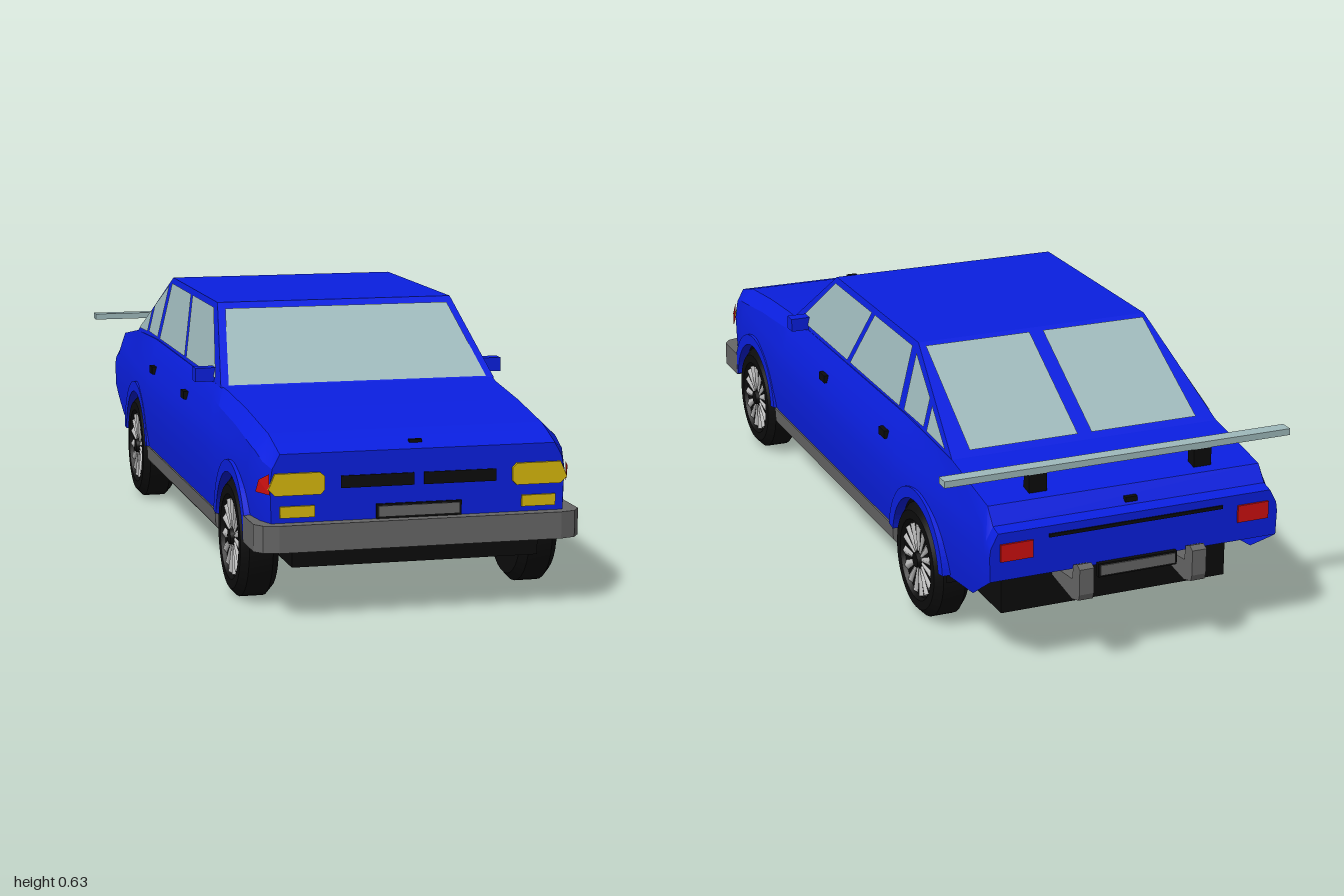
import * as THREE from 'three';
import { toCreasedNormals } from 'three/addons/utils/BufferGeometryUtils.js';

const paint = (color, side = THREE.FrontSide) => new THREE.MeshStandardMaterial({ color, side });
const BLUE = paint(0x0a1fe0, THREE.DoubleSide), GLASS = paint(0x9fbabc, THREE.DoubleSide);
const BLACK = paint(0x0c0c0c, THREE.DoubleSide), GREY = paint(0x666666), SILVER = paint(0xcccccc);
const YELLOW = paint(0xd8b80c), RED = paint(0xd01010, THREE.DoubleSide);

const AXLES = [0.705, -0.54], AXLE_Y = 0.142, ARCH = 0.16;

// Piecewise-linear lookup in a table of [key, value], keys ascending
function lerpTable(table, k) {
  if (k <= table[0][0]) return table[0][1];
  for (let i = 1; i < table.length; i++) {
    const [a, va] = table[i - 1], [b, vb] = table[i];
    if (k <= b) return va + (vb - va) * (k - a) / (b - a);
  }
  return table[table.length - 1][1];
}

// Body outline rules along z, and the side bulge along y
const TOP = [[-0.96, 0.365], [-0.93, 0.372], [-0.9, 0.41], [-0.69, 0.445], [-0.4, 0.457], [0.45, 0.452], [0.68, 0.432], [0.87, 0.408], [0.97, 0.378]];
const WIDTH = [[-0.96, 0.955], [-0.7, 0.965], [-0.38, 1], [0.5, 1], [0.7, 0.98], [0.86, 0.965], [0.93, 0.94], [0.97, 0.9]];
const EDGE = [[-0.96, 0.345], [-0.69, 0.345], [0.4, 0.345], [0.5, 0.335], [0.97, 0.322]];
const BASE = [[-0.96, 0.25], [-0.85, 0.178], [-0.67, 0.158], [0.97, 0.16]];
const SIDE = [[0.15, 0.372], [0.22, 0.38], [0.31, 0.383], [0.38, 0.372], [0.45, 0.35]];

function bottomAt(z) {
  let y = lerpTable(BASE, z);
  for (const a of AXLES) {
    const d = ARCH * ARCH - (z - a) ** 2;
    if (d > 0) y = Math.max(y, AXLE_Y + Math.sqrt(d));
  }
  return y;
}
const sideX = (y, z) => lerpTable(SIDE, y) * lerpTable(WIDTH, z);

function bodyGeometry() {
  const zs = TOP.concat(WIDTH, BASE, EDGE).map(p => p[0]);
  for (const a of AXLES) for (let k = 0; k <= 12; k++) zs.push(a + ARCH * Math.cos(k * Math.PI / 12));
  zs.sort((a, b) => b - a);
  const stations = zs.filter((z, i) => i === 0 || zs[i - 1] - z > 0.002);
  const section = z => {
    const top = lerpTable(TOP, z), shoulder = top - 0.033, low = bottomAt(z);
    const half = [0, 0.22, 0.31, 0.36, 1].map(v => {
      const y = Math.max(low, Math.min(shoulder, v));
      return [sideX(y, z), y];
    });
    half.push([lerpTable(EDGE, z), top]);
    return half.concat(half.slice().reverse().map(([x, y]) => [-x, y]));
  };
  const rings = stations.map(z => section(z).map(([x, y]) => [x, y, z]));
  const flat = r => r.map(([, y, z]) => [0, y, z]);
  rings.unshift(flat(rings[0]));
  rings.push(flat(rings[rings.length - 1]));
  const n = rings[0].length, index = [];
  for (let i = 0; i < rings.length - 1; i++) for (let j = 0; j < n - 1; j++) {
    const a = i * n + j, c = a + n;
    index.push(a, c, a + 1, c, c + 1, a + 1);
  }
  const g = new THREE.BufferGeometry();
  g.setAttribute('position', new THREE.Float32BufferAttribute(rings.flat(2), 3));
  g.setIndex(index);
  return toCreasedNormals(g, 0.35);
}

// Flat convex panel from corner points
function panelGeometry(pts) {
  const g = new THREE.BufferGeometry(), index = [];
  g.setAttribute('position', new THREE.Float32BufferAttribute(pts.flat(), 3));
  for (let i = 1; i < pts.length - 1; i++) index.push(0, i, i + 1);
  g.setIndex(index);
  const f = g.toNonIndexed();
  f.computeVertexNormals();
  return f;
}
const shapeOf = pts => new THREE.Shape(pts.map(p => new THREE.Vector2(...p)));
const extrude = (shape, depth) => new THREE.ExtrudeGeometry(shape, { depth, bevelEnabled: false, curveSegments: 16 });

export function createModel() {
  const car = new THREE.Group();
  car.name = 'car';
  const add = (name, geo, mat, parent = car) => {
    const m = new THREE.Mesh(geo, mat);
    m.name = name;
    parent.add(m);
    return m;
  };
  const box = (name, mat, w, h, d, x, y, z, parent) => {
    const m = add(name, new THREE.BoxGeometry(w, h, d), mat, parent);
    m.position.set(x, y, z);
    return m;
  };

  add('body', bodyGeometry(), BLUE);

  // Cabin: sloped block with glass laid on it
  const F0 = [0.345, 0.45, 0.45], F1 = [0.302, 0.628, 0.21], B1 = [0.302, 0.628, -0.37], B0 = [0.345, 0.443, -0.69];
  const mir = ([x, y, z]) => [-x, y, z];
  const cabin = new THREE.Group();
  cabin.name = 'cabin';
  car.add(cabin);
  add('roof', panelGeometry([F1, B1, mir(B1), mir(F1)]), BLUE, cabin);
  add('windscreenFrame', panelGeometry([F0, F1, mir(F1), mir(F0)]), BLUE, cabin);
  add('rearFrame', panelGeometry([B1, B0, mir(B0), mir(B1)]), BLUE, cabin);
  const off = 0.004;
  add('windscreen', panelGeometry([[-0.325, 0.455, 0.447], [0.325, 0.455, 0.447], [0.287, 0.615, 0.232], [-0.287, 0.615, 0.232]]), GLASS, cabin);

  const sideWindows = [
    [[0.39, 0.465], [0.02, 0.465], [-0.07, 0.615], [0.2, 0.615]],
    [[0, 0.465], [-0.35, 0.465], [-0.35, 0.615], [-0.09, 0.615]],
    [[-0.38, 0.465], [-0.51, 0.465], [-0.51, 0.537], [-0.38, 0.607]],
    [[-0.53, 0.462], [-0.65, 0.458], [-0.53, 0.525]],
  ];
  const glassX = y => 0.345 - (y - 0.45) * 0.2416 + off;
  const headlight = shapeOf([[0.23, 0.285], [0.335, 0.285], [0.35, 0.3], [0.335, 0.335], [0.23, 0.335], [0.22, 0.325], [0.22, 0.295]]);
  const sillShape = shapeOf([[0.25, 0.11], [0.36, 0.112], [0.376, 0.13], [0.378, 0.168], [0.25, 0.168]]);

  // Arch lip ring, turned to face sideways
  const lip = new THREE.Shape();
  lip.absarc(0, 0, 0.178, 0.15, Math.PI - 0.15, false);
  lip.absarc(0, 0, 0.15, Math.PI - 0.15, 0.15, true);
  const lipGeo = extrude(lip, 0.025).rotateY(Math.PI / 2);

  // Tyre turned about its axle, outer face towards +x
  const tyreGeo = toCreasedNormals(new THREE.LatheGeometry(
    [[0, -0.045], [0.122, -0.045], [0.14, -0.028], [0.14, 0.028], [0.122, 0.045], [0.1, 0.045], [0.094, 0.035], [0, 0.035]]
      .map(p => new THREE.Vector2(...p)), 32).rotateZ(-Math.PI / 2), 0.5);

  for (const s of [1, -1]) {
    const side = s > 0 ? 'left' : 'right';
    add(side + 'CabinSide', panelGeometry([F0, B0, B1, F1].map(([x, y, z]) => [s * x, y, z])), BLUE, cabin);
    sideWindows.forEach((w, i) => add(`${side}Window${i + 1}`,
      panelGeometry(w.map(([z, y]) => [s * glassX(y), y, z])), GLASS, cabin));
    // Half of the split rear window
    add(side + 'RearWindow', panelGeometry([[0.018, 0.62], [0.29, 0.62], [0.295, 0.454], [0.018, 0.454]]
      .map(([x, y]) => [s * x, y + off, -0.37 - (0.628 - y) * 1.73 - off])), GLASS, cabin);

    // Mirror, door handles and sill
    box(side + 'Mirror', BLUE, 0.05, 0.034, 0.035, s * 0.365, 0.47, 0.345);
    for (const z of [0.13, -0.31]) box(side + 'DoorHandle', BLACK, 0.012, 0.02, 0.04, s * 0.372, 0.387, z);
    const sill = extrude(sillShape, 0.91);
    if (s < 0) sill.translate(0, 0, -0.91).rotateY(Math.PI).translate(0, 0, 0);
    add(side + 'Sill', sill, GREY).position.z = -0.38;

    // Front lamps and grille slot
    const lamp = extrude(headlight, 0.012);
    if (s < 0) lamp.translate(0, 0, -0.012).rotateY(Math.PI);
    add(side + 'Headlight', lamp, YELLOW).position.z = 0.965;
    add(side + 'CornerLamp', panelGeometry([[0.347, 0.288, 0.975], [0.368, 0.288, 0.925], [0.364, 0.318, 0.94], [0.347, 0.335, 0.972]]
      .map(([x, y, z]) => [s * x, y, z])), RED);
    box(side + 'FogLamp', YELLOW, 0.08, 0.026, 0.015, s * 0.283, 0.247, 0.968);
    box(side + 'GrilleSlot', BLACK, 0.17, 0.028, 0.01, s * 0.097, 0.31, 0.968);

    // Tail lamp, rear bumper horn and spoiler post
    box(side + 'TailLamp', RED, 0.08, 0.042, 0.02, s * 0.3, 0.318, -0.955);
    const horn = extrude(shapeOf([[0.85, 0.19], [0.96, 0.175], [0.995, 0.185], [1, 0.2], [1, 0.262], [0.985, 0.27], [0.965, 0.262], [0.96, 0.225], [0.85, 0.215]]), 0.036);
    add(side + 'BumperHorn', horn.rotateY(Math.PI / 2), GREY).position.x = s * 0.143 - 0.018;
    box(side + 'SpoilerPost', BLACK, 0.045, 0.055, 0.03, s * 0.21, 0.437, -0.86);

    // Wheels and arch lips
    AXLES.forEach((z, i) => {
      const wheel = new THREE.Group();
      wheel.name = side + (i ? 'RearWheel' : 'FrontWheel');
      wheel.position.set(s * 0.336, AXLE_Y - 0.002, z);
      wheel.rotation.y = s > 0 ? 0 : Math.PI;
      car.add(wheel);
      add('tyre', tyreGeo, BLACK, wheel);
      for (let k = 0; k < 15; k++) {
        const spoke = new THREE.CylinderGeometry(0.012, 0.005, 0.066, 4).translate(0, 0.056, 0).scale(0.6, 1, 1);
        add('spoke', spoke.rotateX(k * Math.PI * 2 / 15), SILVER, wheel).position.x = 0.036;
      }
      add('hub', new THREE.CylinderGeometry(0.018, 0.02, 0.012, 12).rotateZ(-Math.PI / 2), BLACK, wheel).position.x = 0.04;
      add(side + 'ArchLip', lipGeo, BLUE).position.set(s * 0.369 - 0.0125, AXLE_Y, z);
    });
  }

  // Underside and wheel wells
  box('floor', BLACK, 0.58, 0.18, 1.8, 0, 0.205, 0.05);
  box('rearFloor', BLACK, 0.69, 0.04, 0.25, 0, 0.275, -0.83);
  for (const z of AXLES) {
    const well = new THREE.CylinderGeometry(ARCH, ARCH, 0.73, 16, 1, true, 0, Math.PI).rotateZ(Math.PI / 2);
    add('wheelWell', well, BLACK).position.set(0, AXLE_Y, z);
  }

  // Front bumper, wrapped around the nose
  const plan = shapeOf([[-0.382, -0.86], [-0.382, -0.965], [-0.365, -0.99], [-0.33, -1], [0.33, -1], [0.365, -0.99], [0.382, -0.965], [0.382, -0.86]]);
  add('frontBumper', extrude(plan, 0.062).rotateX(-Math.PI / 2), GREY).position.y = 0.16;

  // Number plates, latches and trunk seam
  for (const [end, z] of [['front', 0.968], ['rear', -0.965]]) {
    box(end + 'PlateFrame', BLACK, 0.2, 0.034, 0.012, 0, 0.239, z);
    box(end + 'Plate', GREY, 0.19, 0.025, 0.018, 0, 0.239, z);
  }
  box('hoodLatch', BLACK, 0.03, 0.008, 0.012, 0, 0.39, 0.935);
  box('trunkLatch', BLACK, 0.03, 0.012, 0.012, 0, 0.385, -0.925);
  box('trunkSeam', BLACK, 0.44, 0.008, 0.008, 0, 0.342, -0.96);

  // Spoiler bar
  box('spoilerBar', GLASS, 0.88, 0.016, 0.034, 0, 0.467, -0.86);
  return car;
}
